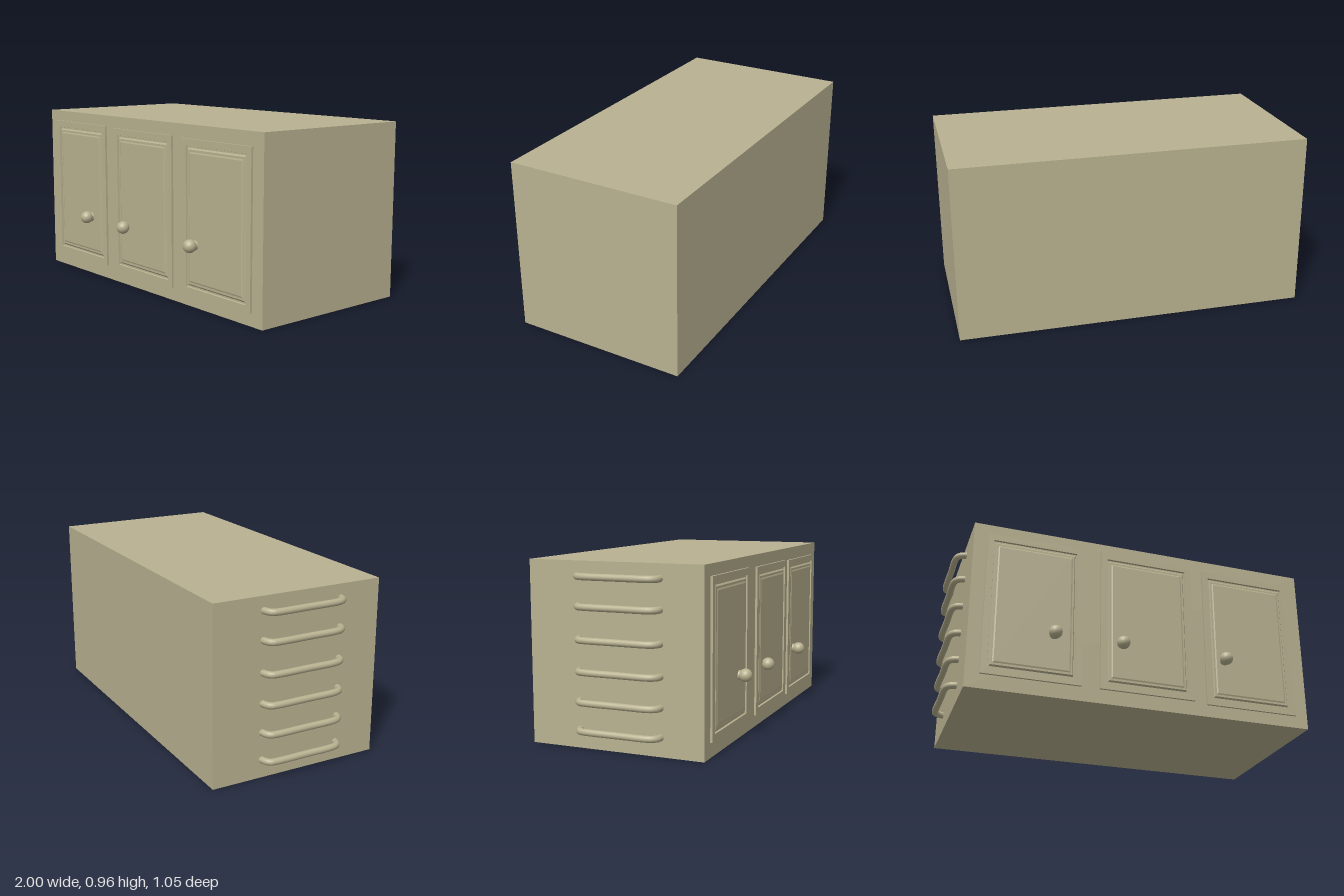
import * as THREE from 'three';

const material = new THREE.MeshStandardMaterial({ color: 0xb8b190 });

function addMesh(parent, name, geometry, x = 0, y = 0, z = 0) {
  const mesh = new THREE.Mesh(geometry, material);
  mesh.name = name;
  mesh.position.set(x, y, z);
  parent.add(mesh);
  return mesh;
}

// Skin through concentric rectangles [halfWidth, halfHeight, z], capped at both ends
function rectLoft(loops) {
  const corners = loops.map(([w, h, z]) => [[-w, -h, z], [w, -h, z], [w, h, z], [-w, h, z]]);
  const pos = [];
  const quad = (a, b, c, d) => pos.push(...a, ...b, ...c, ...a, ...c, ...d);
  for (let i = 0; i < corners.length - 1; i++) {
    const p = corners[i], q = corners[i + 1];
    for (let k = 0; k < 4; k++) {
      const n = (k + 1) % 4;
      quad(p[k], p[n], q[n], q[k]);
    }
  }
  const first = corners[0], last = corners[corners.length - 1];
  quad(first[3], first[2], first[1], first[0]);
  quad(last[0], last[1], last[2], last[3]);
  const geometry = new THREE.BufferGeometry();
  geometry.setAttribute('position', new THREE.Float32BufferAttribute(pos, 3));
  geometry.computeVertexNormals();
  return geometry;
}

export function createModel() {
  const model = new THREE.Group();
  model.name = 'cabinet';

  // Plain box carcass
  addMesh(model, 'cabinetBody', new THREE.BoxGeometry(1.93, 0.965, 0.965), 0.035, 0.4825, -0.0425);

  // Doors: flat rim, groove, bevelled raised panel
  const doorGeometry = rectLoft([
    [0.2675, 0.4125, 0],
    [0.2675, 0.4125, 0.012],
    [0.2325, 0.375, 0.012],
    [0.2305, 0.373, 0.002],
    [0.2225, 0.365, 0.002],
    [0.2175, 0.357, 0.009],
    [0.2075, 0.345, 0.009],
    [0.2, 0.3375, 0.012],
  ]);

  // Round knob on a flared neck, revolved then turned to face forward
  const knobProfile = [new THREE.Vector2(0.028, 0), new THREE.Vector2(0.026, 0.015), new THREE.Vector2(0.023, 0.022)];
  for (let i = 0; i <= 12; i++) {
    const a = THREE.MathUtils.lerp(-0.85, Math.PI / 2, i / 12);
    knobProfile.push(new THREE.Vector2(Math.max(0, 0.036 * Math.cos(a)), 0.049 + 0.036 * Math.sin(a)));
  }
  const knobGeometry = new THREE.LatheGeometry(knobProfile, 28).rotateX(Math.PI / 2);

  const doors = [
    { name: 'rightDoor', x: -0.5875, y: 0.4925, z: 0.441, knob: [-0.475, 0.352] },
    { name: 'middleDoor', x: 0.0475, y: 0.4875, z: 0.45, knob: [-0.1, 0.347] },
    { name: 'leftDoor', x: 0.6575, y: 0.48, z: 0.441, knob: [0.5, 0.341] },
  ];
  for (const d of doors) {
    addMesh(model, d.name, doorGeometry, d.x, d.y, d.z);
    addMesh(model, d.name + 'Knob', knobGeometry, d.knob[0], d.knob[1], 0.44);
  }

  // Ladder of bent bar handles on the right side
  const path = new THREE.CatmullRomCurve3([
    [-0.92, -0.246], [-0.952, -0.238], [-0.975, -0.222], [-0.982, -0.19],
    [-0.982, 0], [-0.982, 0.14], [-0.974, 0.178], [-0.954, 0.2], [-0.92, 0.207],
  ].map(([x, z]) => new THREE.Vector3(x, 0, z)), false, 'centripetal');
  const rungGeometry = new THREE.TubeGeometry(path, 48, 0.018, 14);
  [0.1, 0.25, 0.407, 0.57, 0.738, 0.89].forEach((y, i) => {
    addMesh(model, 'sideRung' + (i + 1), rungGeometry, 0, y, 0);
  });

  return model;
}
